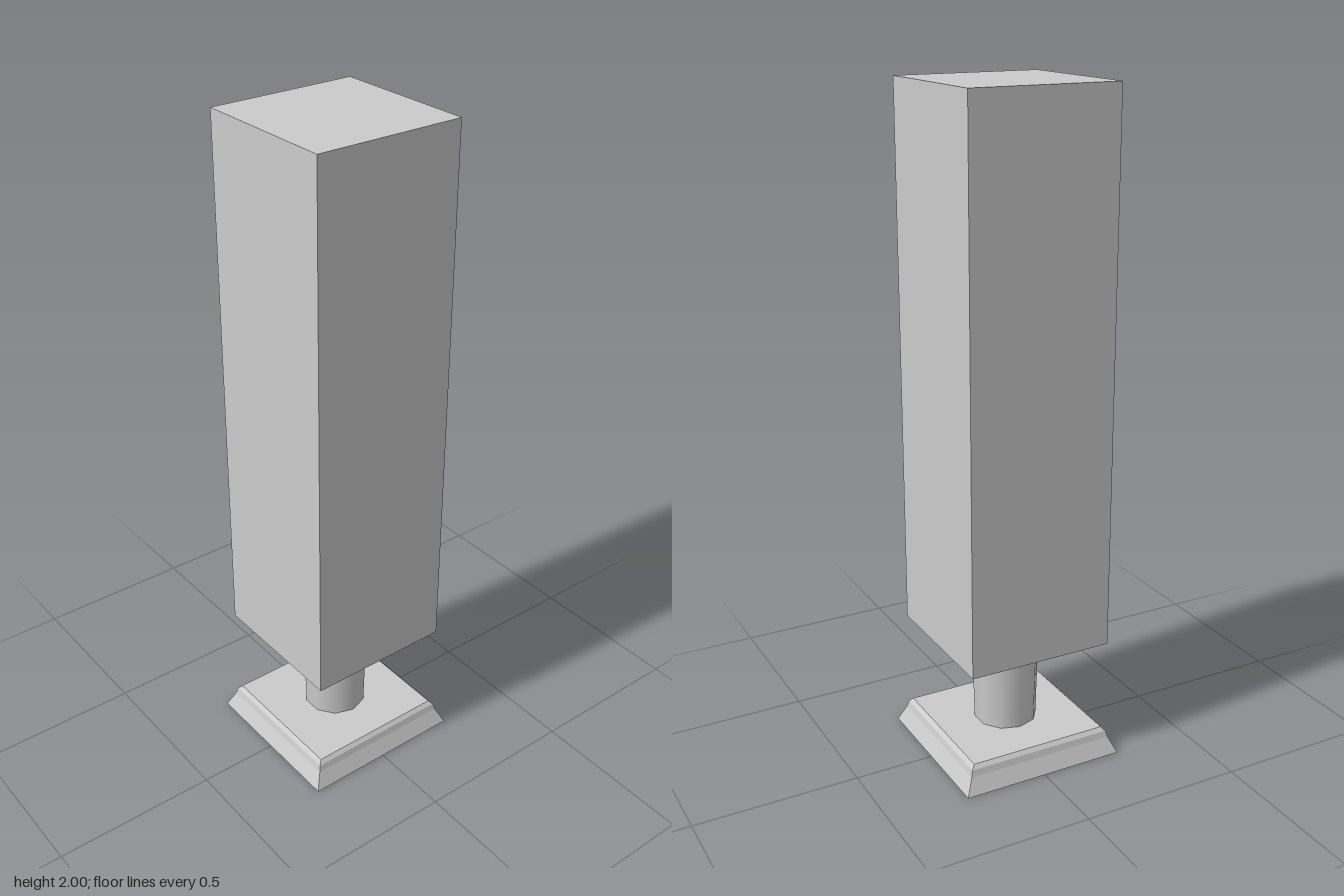
import * as THREE from 'three';

const material = new THREE.MeshStandardMaterial({ color: 0xcccccc });

function addPart(group, name, geometry, y) {
  const mesh = new THREE.Mesh(geometry, material);
  mesh.name = name;
  mesh.position.y = y;
  group.add(mesh);
}

// Stacks rectangular sections [halfX, halfZ, y] into a closed solid with crisp corners
function rectangularLoft(sections) {
  const positions = [];
  const corners = sections.map(([x, z, y]) => [[x, y, z], [x, y, -z], [-x, y, -z], [-x, y, z]]);
  const quad = (a, b, c, d) => positions.push(...a, ...b, ...c, ...a, ...c, ...d);
  for (let i = 0; i < corners.length - 1; i++) {
    for (let j = 0; j < 4; j++) {
      const k = (j + 1) % 4;
      quad(corners[i][j], corners[i][k], corners[i + 1][k], corners[i + 1][j]);
    }
  }
  quad(...corners[corners.length - 1]);
  quad(...[...corners[0]].reverse());
  const geometry = new THREE.BufferGeometry();
  geometry.setAttribute('position', new THREE.Float32BufferAttribute(positions, 3));
  geometry.computeVertexNormals();
  return geometry;
}

export function createModel() {
  const group = new THREE.Group();
  group.name = 'pillar';

  // Flared foot with a softened upper rim
  addPart(group, 'basePlate', rectangularLoft([
    [0.256, 0.25, 0],
    [0.233, 0.228, 0.05],
    [0.228, 0.223, 0.07],
    [0.217, 0.213, 0.082],
  ]), 0);

  // Short stem, narrowing slightly towards the foot
  addPart(group, 'stem', new THREE.CylinderGeometry(0.104, 0.096, 0.292, 10), 0.226);

  // Tall square block
  addPart(group, 'block', new THREE.BoxGeometry(0.45, 1.63, 0.45), 1.185);

  return group;
}
